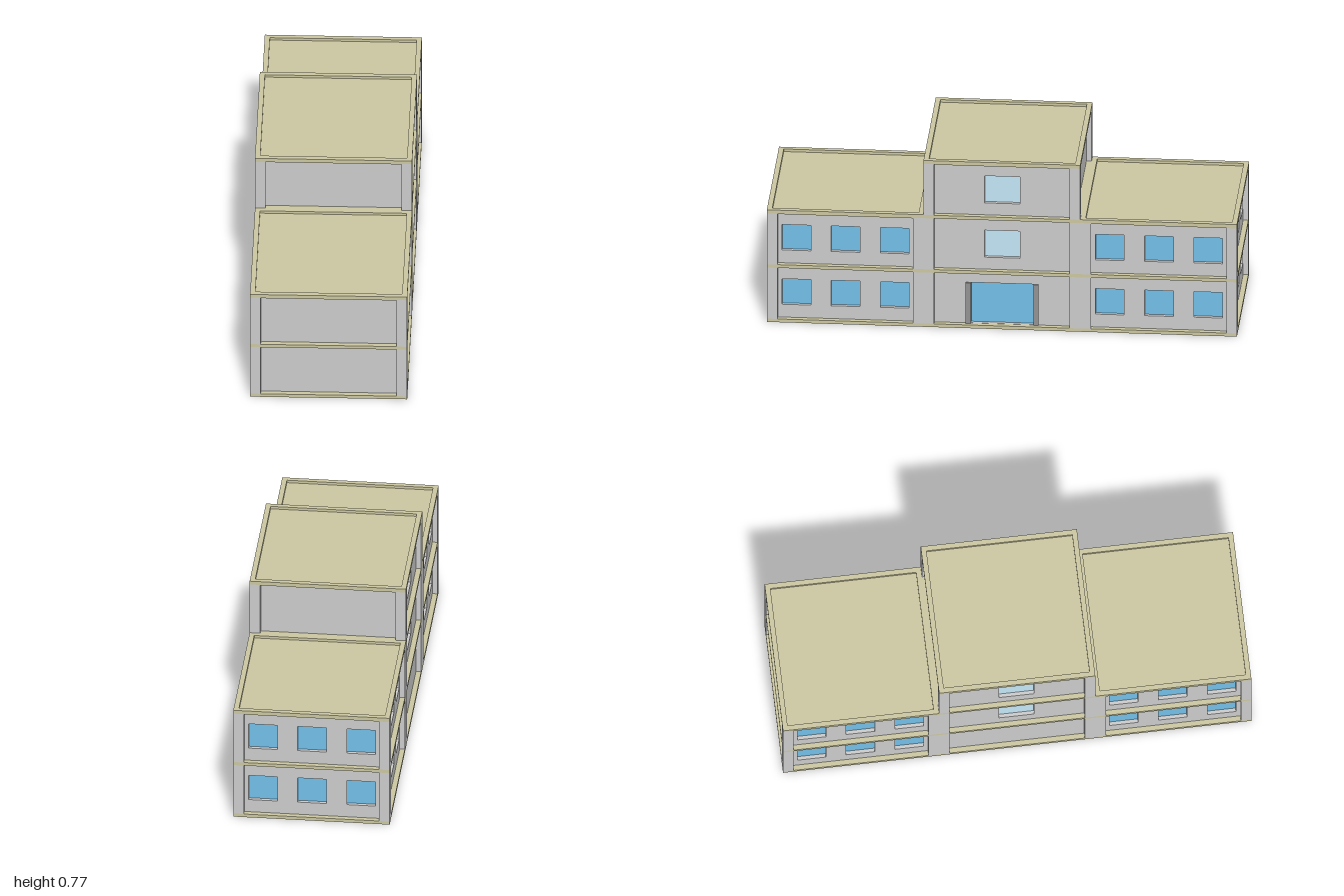
import * as THREE from 'three';

const wallMat = new THREE.MeshStandardMaterial({ color: 0xcccccc });
const trimMat = new THREE.MeshStandardMaterial({ color: 0xcbc7a1 });
const glassMat = new THREE.MeshStandardMaterial({ color: 0x73bfe8 });
const paleGlassMat = new THREE.MeshStandardMaterial({ color: 0xc3e6f7 });
const jambMat = new THREE.MeshStandardMaterial({ color: 0x939393 });

const HALF = 1 / 3;      // half the side of a square module
const POST = 0.045;      // corner post side
const FACE = 0.311;      // outer face of the recessed walls
const THICK = 0.021;     // wall thickness
const STOREY = 0.2515;   // floor to floor

function mesh(name, geometry, material, x = 0, y = 0, z = 0) {
  const m = new THREE.Mesh(geometry, material);
  m.name = name;
  m.position.set(x, y, z);
  return m;
}

function box(name, w, h, d, material, x, y, z) {
  return mesh(name, new THREE.BoxGeometry(w, h, d), material, x, y, z);
}

function rect(Type, x0, y0, x1, y1) {
  const r = new Type();
  r.moveTo(x0, y0).lineTo(x1, y0).lineTo(x1, y1).lineTo(x0, y1).closePath();
  return r;
}

// Square trim band with an open middle, bottom at y
function ring(name, width, y, height) {
  const shape = rect(THREE.Shape, -HALF, -HALF, HALF, HALF);
  const inner = HALF - width;
  shape.holes.push(rect(THREE.Path, -inner, -inner, inner, inner));
  const g = new THREE.ExtrudeGeometry(shape, { depth: height, bevelEnabled: false });
  g.rotateX(-Math.PI / 2);
  return mesh(name, g, trimMat, 0, y, 0);
}

// Openings in a wall, measured from the storey's base
const openings = {
  blank: [],
  windows: [-0.209, 0, 0.209].map(x => ({ x, w: 0.122, y0: 0.074, y1: 0.192, mat: glassMat })),
  single: [{ x: 0, w: 0.15, y0: 0.07, y1: 0.195, mat: paleGlassMat }],
  door: [{ x: 0, w: 0.31, y0: 0.016, y1: 0.203, mat: glassMat, door: true }],
};

// One wall facing +z, with its panes, turned to its side of the module
function wall(kind, angle, top) {
  const g = new THREE.Group();
  g.name = kind + 'Wall';
  const half = HALF - POST;
  const shape = rect(THREE.Shape, -half, 0.015, half, top);
  for (const o of openings[kind]) {
    const x0 = o.x - o.w / 2, x1 = o.x + o.w / 2;
    shape.holes.push(rect(THREE.Path, x0, o.y0, x1, o.y1));
    g.add(box(o.door ? 'doorPanel' : 'windowPane', o.w, o.y1 - o.y0, 0.004, o.mat,
      o.x, (o.y0 + o.y1) / 2, FACE - THICK + 0.003));
    if (o.door) {
      for (const s of [-1, 1]) {
        g.add(box('doorJamb', 0.022, o.y1 - o.y0, 0.03, jambMat,
          s * (o.w / 2 - 0.011), (o.y0 + o.y1) / 2, FACE - 0.007));
      }
    }
  }
  const panel = new THREE.ExtrudeGeometry(shape, { depth: THICK, bevelEnabled: false });
  g.add(mesh('wallPanel', panel, wallMat, 0, 0, FACE - THICK));
  g.rotation.y = angle;
  return g;
}

// One storey: base band, four posts, four walls (front, right, back, left)
function storey(kinds) {
  const g = new THREE.Group();
  g.name = 'storey';
  g.add(ring('floorBand', POST, 0, 0.015));
  const c = HALF - POST / 2;
  const top = STOREY;
  for (const sx of [-1, 1]) {
    for (const sz of [-1, 1]) {
      g.add(box('cornerPost', POST, top - 0.015, POST, wallMat, sx * c, (top + 0.015) / 2, sz * c));
    }
  }
  kinds.forEach((kind, i) => g.add(wall(kind, i * Math.PI / 2, top)));
  return g;
}

// A stack of storeys closed by a parapet and a sunken flat roof
function block(name, z, floors) {
  const g = new THREE.Group();
  g.name = name;
  floors.forEach((kinds, i) => {
    const s = storey(kinds);
    s.position.y = i * STOREY;
    g.add(s);
  });
  const top = floors.length * STOREY;
  g.add(ring('parapet', 0.022, top - 0.002, 0.018));
  const side = 2 * (HALF - 0.022);
  g.add(box('roof', side, 0.006, side, trimMat, 0, top + 0.001, 0));
  g.position.z = z;
  return g;
}

export function createModel() {
  const model = new THREE.Group();
  model.name = 'building';
  const frontWing = ['blank', 'windows', 'blank', 'windows'];
  const backWing = ['blank', 'windows', 'windows', 'windows'];
  const upper = ['blank', 'single', 'blank', 'single'];
  model.add(block('frontWing', 2 * HALF, [frontWing, frontWing]));
  model.add(block('centralBlock', 0, [['blank', 'door', 'blank', 'blank'], upper, upper]));
  model.add(block('backWing', -2 * HALF, [backWing, backWing]));
  return model;
}
